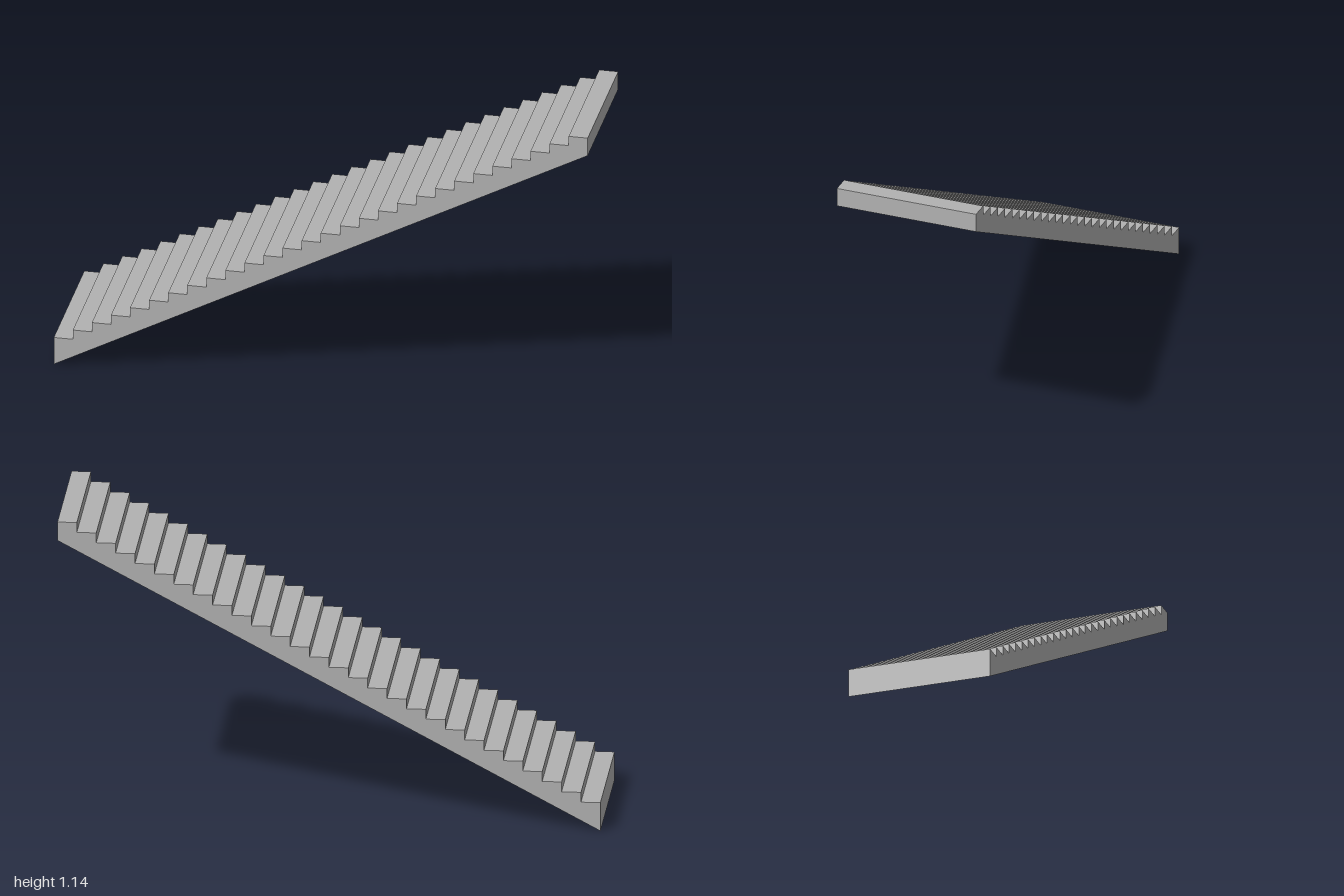
import * as THREE from 'three';

const STEPS = 28;
const LENGTH = 2;
const DEPTH = 0.55;
const SOFFIT_RISE = 1.065; // climb of the sloping underside
const FIRST_TOP = 0.11;    // height of the lowest tread
const LAST_TOP = 1.137;    // height of the highest tread

export function createModel() {
  const group = new THREE.Group();
  group.name = 'staircase';

  const concrete = new THREE.MeshStandardMaterial({ color: 0xb2b2b2 });
  concrete.name = 'grey concrete';

  // Side profile: sloping underside, then treads and risers from top to bottom
  const going = LENGTH / STEPS;
  const rise = (LAST_TOP - FIRST_TOP) / (STEPS - 1);
  const profile = new THREE.Shape();
  profile.moveTo(-LENGTH / 2, 0);
  profile.lineTo(LENGTH / 2, SOFFIT_RISE);
  for (let i = STEPS - 1; i >= 0; i--) {
    const x = -LENGTH / 2 + i * going;
    const y = FIRST_TOP + i * rise;
    profile.lineTo(x + going, y);
    profile.lineTo(x, y);
  }
  profile.closePath();

  // Solid flight, extruded across its width
  const geometry = new THREE.ExtrudeGeometry(profile, { depth: DEPTH, bevelEnabled: false });
  geometry.translate(0, 0, -DEPTH / 2);
  const flight = new THREE.Mesh(geometry, concrete);
  flight.name = 'stairFlight';
  group.add(flight);

  return group;
}
